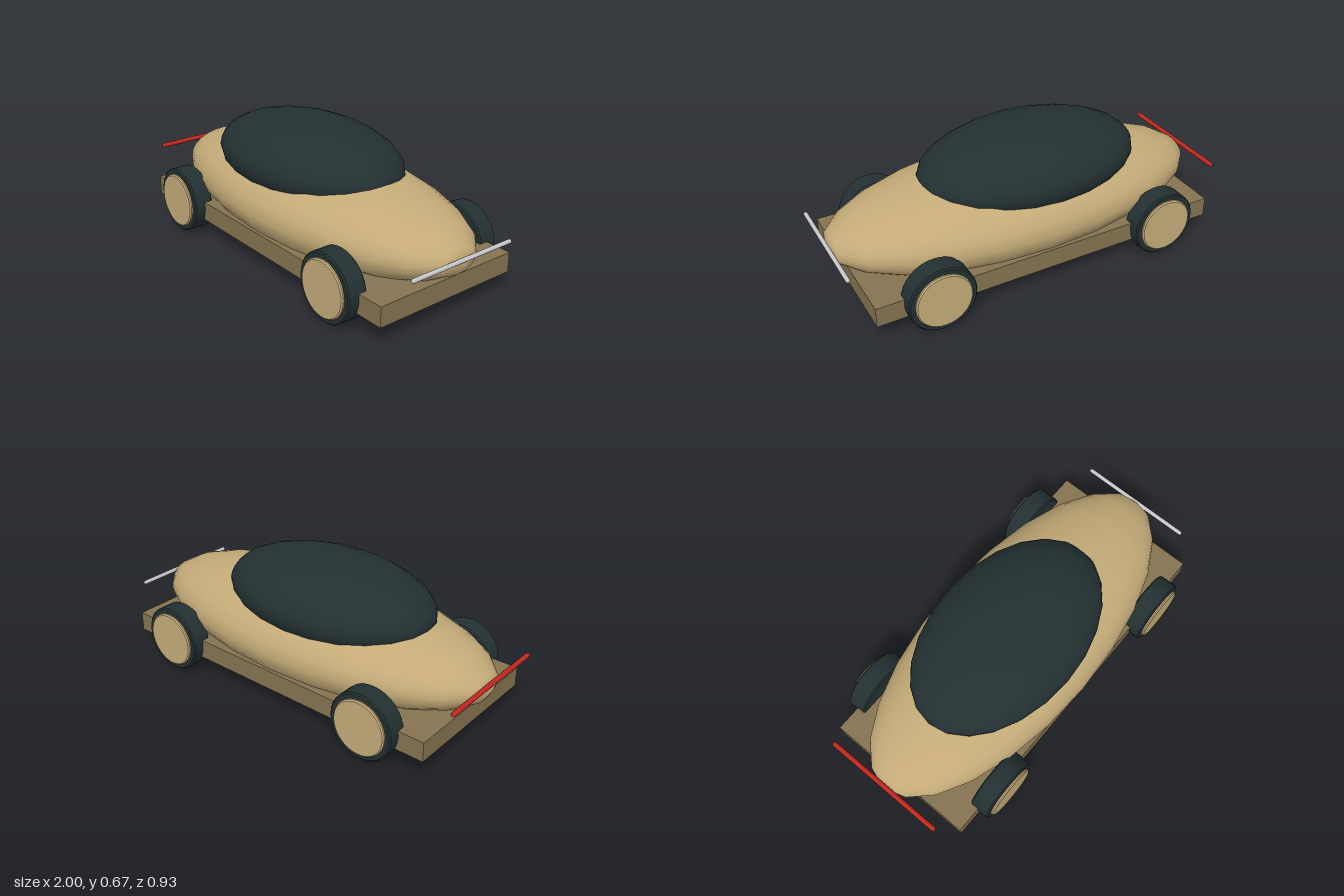
import * as THREE from 'three';

const material = (name, color) => {
  const m = new THREE.MeshStandardMaterial({ color });
  m.name = name;
  return m;
};

export function createModel() {
  const tan = material('tan paint', 0xc4ab78);
  const brown = material('dark tan', 0x857350);
  const dark = material('dark rubber and glass', 0x233032);
  const red = material('red light', 0xc0281f);
  const silver = material('silver light', 0xc8c8cc);

  const car = new THREE.Group();
  car.name = 'car';

  const add = (name, geometry, mat, x, y, z, parent = car) => {
    const mesh = new THREE.Mesh(geometry, mat);
    mesh.name = name;
    mesh.position.set(x, y, z);
    parent.add(mesh);
    return mesh;
  };

  // Ellipsoid with its poles at the nose and tail
  const ellipsoid = (a, b, c) =>
    new THREE.SphereGeometry(1, 24, 12).rotateZ(-Math.PI / 2).scale(a, b, c);

  // Disc along z, from z = 0 outwards, with small bevelled rims
  const disc = (radius, depth, bevel) => {
    const outline = [
      [0, 0], [radius - bevel, 0],
      [radius - bevel, 0], [radius, bevel],
      [radius, bevel], [radius, depth - bevel],
      [radius, depth - bevel], [radius - bevel, depth],
      [radius - bevel, depth], [0, depth],
    ].map(([r, y]) => new THREE.Vector2(r, y));
    return new THREE.LatheGeometry(outline, 32).rotateX(Math.PI / 2);
  };

  // Light bar across the car
  const bar = (length, radius) =>
    new THREE.CapsuleGeometry(radius, length - 2 * radius, 3, 12).rotateX(Math.PI / 2);

  // Shell, cabin and floor
  add('body', ellipsoid(0.993, 0.233, 0.425), tan, 0, 0.295, 0);
  add('canopy', ellipsoid(0.575, 0.195, 0.372), dark, -0.07, 0.48, 0);
  add('chassis', new THREE.BoxGeometry(1.815, 0.1, 0.792), brown, 0.002, 0.145, 0);

  // Lights
  add('headlightBar', bar(0.605, 0.0105), silver, 0.985, 0.312, 0);
  add('taillightBar', bar(0.65, 0.012), red, -0.988, 0.333, 0);

  // Wheels, each a tyre with a raised hubcap
  const tyre = disc(0.168, 0.104, 0.007);
  const hub = disc(0.14, 0.06, 0.006);
  for (const x of [-0.607, 0.607]) {
    for (const side of [1, -1]) {
      const wheel = new THREE.Group();
      wheel.name = (x > 0 ? 'front' : 'rear') + 'Wheel' + (side > 0 ? 'Near' : 'Far');
      wheel.position.set(x, 0.169, 0);
      if (side < 0) wheel.rotation.y = Math.PI;
      add('tyre', tyre, dark, 0, 0, 0.35, wheel);
      add('hubcap', hub, tan, 0, 0, 0.407, wheel);
      car.add(wheel);
    }
  }

  return car;
}
